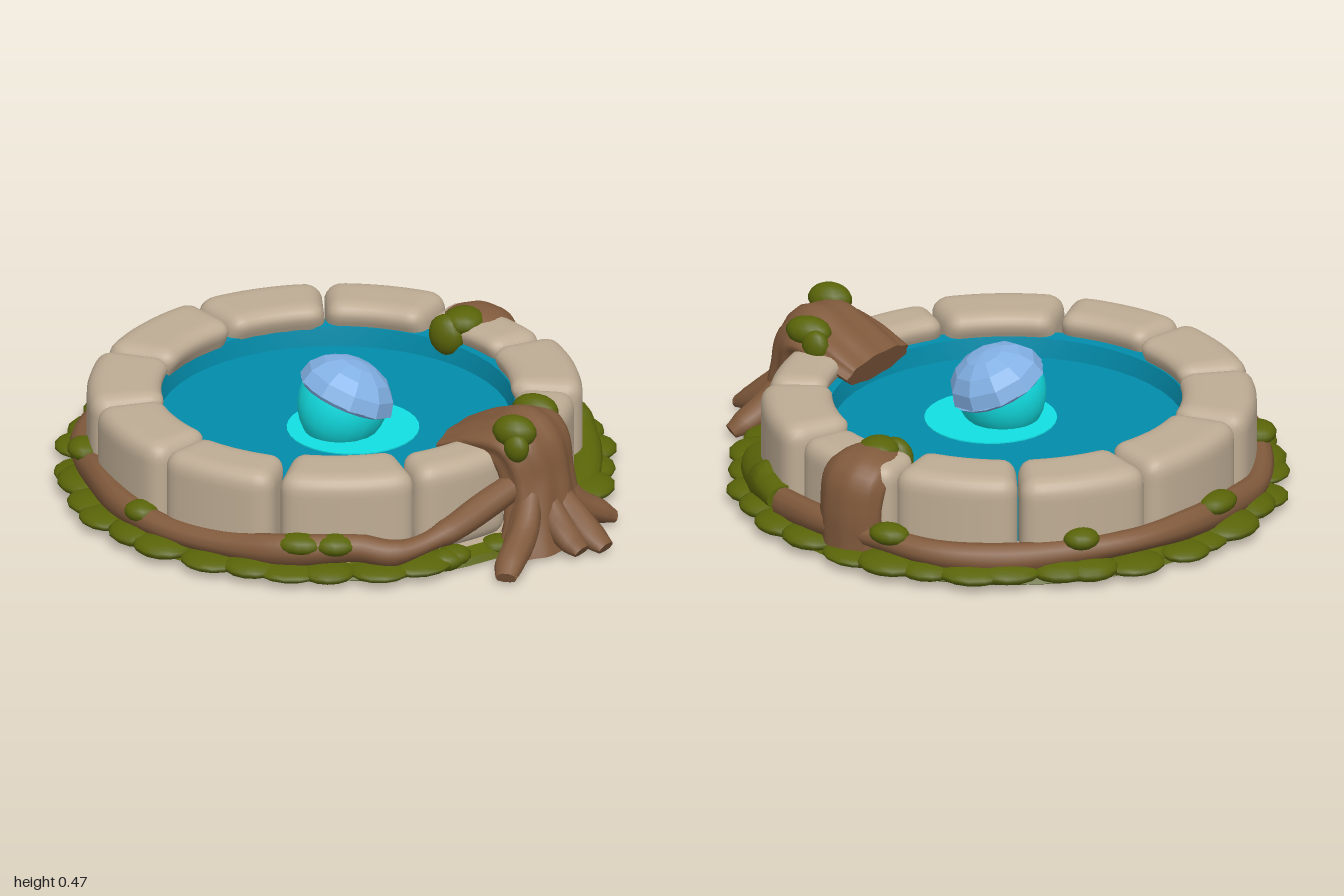
import * as THREE from 'three';
import { mergeVertices, toCreasedNormals } from 'three/addons/utils/BufferGeometryUtils.js';

const CZ = -0.09; // centre of the pool in z
const D = Math.PI / 180;

function material(name, color, side = THREE.FrontSide) {
  const m = new THREE.MeshStandardMaterial({ color, side });
  m.name = name;
  return m;
}

// Sweeps an ellipse along points [x, y, z, halfWidth, halfHeight]; side fixes the width axis.
function sweep(points, { side = null, steps = 24, sides = 14, ridge = 0 } = {}) {
  const path = new THREE.CatmullRomCurve3(points.map(p => new THREE.Vector3(p[0], p[1], p[2])));
  const size = new THREE.CatmullRomCurve3(points.map(p => new THREE.Vector3(p[3], p[4], 0)));
  const pos = [], idx = [];
  for (let i = 0; i <= steps; i++) {
    const c = path.getPoint(i / steps), s = size.getPoint(i / steps), t = path.getTangent(i / steps);
    const u = (side ? side.clone() : new THREE.Vector3().crossVectors(t, new THREE.Vector3(0, 1, 0))).normalize();
    const n = new THREE.Vector3().crossVectors(t, u);
    for (let j = 0; j < sides; j++) {
      const a = j / sides * Math.PI * 2;
      const k = 1 + ridge * Math.cos(9 * a + 0.5 * Math.sin(i * 0.4));
      const p = c.clone().addScaledVector(u, s.x * k * Math.cos(a)).addScaledVector(n, s.y * k * Math.sin(a));
      pos.push(p.x, Math.max(p.y, 0.004), p.z);
      if (i < steps) {
        const j2 = (j + 1) % sides, q = i * sides, r = q + sides;
        idx.push(q + j, q + j2, r + j2, q + j, r + j2, r + j);
      }
    }
  }
  // end caps
  const start = pos.length / 3, a = path.getPoint(0), b = path.getPoint(1), last = steps * sides;
  pos.push(a.x, a.y, a.z, b.x, b.y, b.z);
  for (let j = 0; j < sides; j++) {
    const j2 = (j + 1) % sides;
    idx.push(start, j2, j, start + 1, last + j, last + j2);
  }
  const g = new THREE.BufferGeometry();
  g.setAttribute('position', new THREE.Float32BufferAttribute(pos, 3));
  g.setIndex(idx);
  return toCreasedNormals(g, 50 * D);
}

// A rounded block bent to follow the ring, its inner face leaning back towards the bottom.
function stoneGeometry(angle, span, inner, outer, top) {
  const mid = (inner + outer) / 2, bottom = 0.03, round = 0.055;
  const half = new THREE.Vector3(span * mid, top - bottom, outer - inner).multiplyScalar(0.5);
  const core = half.clone().subScalar(round), low = core.clone().negate();
  let g = new THREE.BoxGeometry(half.x * 2, half.y * 2, half.z * 2, 18, 14, 10);
  const p = g.attributes.position, v = new THREE.Vector3();
  for (let i = 0; i < p.count; i++) {
    v.fromBufferAttribute(p, i);
    const c = v.clone().clamp(low, core);
    v.sub(c).setLength(round).add(c);
    const a = angle - v.x / mid, y = v.y + (top + bottom) / 2;
    const lean = v.z < 0 ? 0.05 * Math.min(1, Math.max(0, (0.31 - y) / 0.1)) * -v.z / half.z : 0;
    const r = mid + v.z + lean;
    p.setXYZ(i, r * Math.cos(a), y, CZ + r * Math.sin(a));
  }
  g.deleteAttribute('normal');
  g.deleteAttribute('uv');
  g = mergeVertices(g, 1e-4);
  return toCreasedNormals(g, 60 * D);
}

export function createModel() {
  const stone = material('stone', 0xbeac94);
  const bark = material('bark', 0x815a3c);
  const moss = material('moss', 0x596408);
  const water = material('water', 0x028cab, THREE.DoubleSide);
  const foam = material('foam', 0x12dfe3, THREE.DoubleSide);
  const crystal = material('crystal', 0x82b0e4, THREE.DoubleSide);

  const model = new THREE.Group();
  const add = (name, geometry, mat, x = 0, y = 0, z = 0, parent = model) => {
    const m = new THREE.Mesh(geometry, mat);
    m.name = name;
    m.position.set(x, y, z);
    parent.add(m);
    return m;
  };
  const ball = new THREE.SphereGeometry(1, 14, 9);
  const blob = (name, x, y, z, sx, sy, sz, turn = 0) => {
    const m = add(name, ball, moss, x, y, z);
    m.scale.set(sx, sy, sz);
    m.rotation.y = turn;
  };
  const lathe = (name, points, mat) => add(name, toCreasedNormals(
    new THREE.LatheGeometry(points.map(([x, y]) => new THREE.Vector2(x, y)), 48), 30 * D), mat, 0, 0, CZ);

  // stone foundation with a mossy rim
  lathe('foundation', [[0.59, 0], [0.85, 0]], stone);
  lathe('foundationTop', [[0.8, 0.045], [0.59, 0.045]], stone);
  lathe('mossRim', [[0.85, 0], [0.865, 0.008], [0.85, 0.03], [0.8, 0.045]], moss);

  // pool wall with a lip below and a flange above, and the water surface
  lathe('poolWall', [[0.61, 0.002], [0.55, 0.004], [0.57, 0.1], [0.578, 0.2], [0.588, 0.265], [0.64, 0.268]], water);
  const disc = new THREE.CircleGeometry(0.578, 48).rotateX(-Math.PI / 2);
  add('waterSurface', disc, water, 0, 0.2, CZ);
  add('foamRing', new THREE.CylinderGeometry(0.217, 0.217, 0.008, 32), foam, -0.02, 0.2, 0);

  // tilted orb: faceted crystal dome over a smooth bowl
  const orb = new THREE.Group();
  orb.name = 'orb';
  orb.position.set(-0.04, 0.32, -0.015);
  orb.rotation.set(0.27, 0, -0.32);
  model.add(orb);
  const dome = new THREE.SphereGeometry(0.162, 10, 4, 0, Math.PI * 2, 0, Math.PI / 2)
    .scale(0.98, 0.78, 1.04).toNonIndexed();
  dome.computeVertexNormals();
  add('crystalDome', dome, crystal, 0, 0, 0, orb);
  add('crystalRim', new THREE.CylinderGeometry(0.16, 0.15, 0.012, 20), crystal, 0, -0.004, 0, orb);
  const bowl = new THREE.SphereGeometry(0.15, 20, 8, 0, Math.PI * 2, Math.PI / 2, Math.PI / 2).scale(1, 1.2, 1);
  add('orbBowl', bowl, foam, 0, -0.008, 0, orb);

  // ring stones: angle, span in degrees, inner and outer radius, top
  [[-90, 35, 0.555, 0.8, 0.345], [-56, 32, 0.56, 0.81, 0.34], [-24, 31, 0.57, 0.8, 0.345],
    [8, 31, 0.59, 0.79, 0.335], [41, 32, 0.57, 0.81, 0.345], [70, 26, 0.59, 0.79, 0.34],
    [109, 27, 0.59, 0.78, 0.34], [140, 33, 0.57, 0.81, 0.345], [173, 30, 0.6, 0.81, 0.345],
    [204, 31, 0.57, 0.81, 0.345], [236, 33, 0.56, 0.81, 0.345]].forEach(([a, s, r0, r1, top]) =>
    add('ringStone', stoneGeometry(a * D, s * D, r0, r1, top), stone));

  // front trunk that bends over the rim as a spout
  const xAxis = new THREE.Vector3(1, 0, 0);
  add('trunkSpout', sweep([[-0.02, 0, 0.77, 0.19, 0.12], [-0.01, 0.1, 0.76, 0.155, 0.1],
    [0, 0.22, 0.735, 0.145, 0.1], [0.005, 0.33, 0.69, 0.16, 0.105], [0.01, 0.33, 0.58, 0.165, 0.075],
    [0.01, 0.285, 0.44, 0.16, 0.05]], { side: xAxis, steps: 30, sides: 54, ridge: 0.045 }), bark);
  // flared roots: end x, end z, start x
  [[-0.36, 0.88, -0.12], [-0.24, 0.83, -0.12], [-0.04, 0.95, -0.04], [0.03, 0.995, 0.03], [0.25, 0.86, 0.09]]
    .forEach(([x, z, sx]) => add('trunkRoot', sweep([[sx * 0.7, 0.2, 0.77, 0.04, 0.04],
      [sx * 0.8 + x * 0.2, 0.1, 0.74 + (z - 0.74) * 0.5, 0.05, 0.05],
      [x * 0.75 + sx * 0.25, 0.045, 0.74 + (z - 0.74) * 0.8, 0.05, 0.04],
      [x, 0.02, z, 0.035, 0.022]], { sides: 10, steps: 12 }), bark));

  // long root from the trunk around the left, back and right of the ring
  const long = [[-0.08, 0.23, 0.73, 0.045, 0.045], [-0.22, 0.18, 0.69, 0.05, 0.05],
    [-0.38, 0.13, 0.65, 0.045, 0.045], [-0.54, 0.09, 0.56, 0.045, 0.045]];
  for (let a = 138, i = 0; a <= 392; a += 15.5, i++) {
    const r = 0.818 + 0.01 * Math.sin(i * 2.1), h = 0.047 + 0.008 * Math.sin(i * 1.7);
    long.push([r * Math.cos(a * D), 0.092 + 0.013 * Math.cos(i * 1.3), CZ + r * Math.sin(a * D), 0.045, h]);
  }
  add('ringRoot', sweep(long, { steps: 120, sides: 10 }), bark);

  // side stump folded over the rim
  add('sideStump', sweep([[0.79, 0.05, -0.05, 0.115, 0.075], [0.795, 0.18, -0.05, 0.115, 0.07],
    [0.77, 0.265, -0.05, 0.12, 0.075], [0.7, 0.3, -0.05, 0.11, 0.06], [0.61, 0.29, -0.06, 0.09, 0.045]],
  { side: new THREE.Vector3(0, 0, -1), steps: 20, sides: 36, ridge: 0.02 }), bark);

  // moss on the trunk, the stump and the root
  blob('trunkMoss', -0.1, 0.41, 0.72, 0.055, 0.055, 0.075, 0.3);
  blob('trunkMoss', -0.13, 0.37, 0.75, 0.035, 0.05, 0.045);
  blob('trunkMoss', 0.12, 0.39, 0.64, 0.055, 0.05, 0.08, 0.2);
  blob('trunkMoss', 0.15, 0.36, 0.59, 0.035, 0.055, 0.05);
  blob('stumpMoss', 0.65, 0.33, -0.05, 0.075, 0.042, 0.07, 0.4);
  blob('stumpMoss', 0.595, 0.29, -0.08, 0.045, 0.07, 0.065);
  [[117, 0.03], [143, 0.12], [151, 0.12], [193, 0.11], [226, 0.14], [267, 0.13], [306, 0.14], [351, 0.13]]
    .forEach(([a, y], i) => blob('rootMoss', 0.825 * Math.cos(a * D), y, CZ + 0.825 * Math.sin(a * D),
      0.055, 0.035, 0.06 + 0.01 * (i % 3), -a * D));

  // mossy bank at the front left
  const bank = [[70, 0.035, 0.025], [60, 0.05, 0.035], [50, 0.065, 0.045], [42, 0.08, 0.055], [34, 0.095, 0.055],
    [27, 0.095, 0.045]];
  add('mossBank', sweep(bank.map(([a, y, h]) =>
    [0.81 * Math.cos(a * D), y, CZ + 0.81 * Math.sin(a * D), 0.065, h]), { steps: 30 }), moss);

  // moss cushions along the foot of the ring
  let seed = 7;
  const rand = () => (seed = (seed * 16807) % 2147483647) / 2147483647;
  const count = 36;
  for (let i = 0; i < count; i++) {
    const a = (i + 0.5 * rand()) / count * 360;
    const thin = a > 84 && a < 122;
    const s = thin ? 0.055 : 0.08 + 0.035 * rand();
    const r = (thin ? 0.87 : 0.915 + 0.03 * rand()) - s;
    const h = 0.024 + 0.014 * rand();
    blob('mossCushion', r * Math.cos(a * D), h + 0.003, CZ + r * Math.sin(a * D), s, h, s * 1.1, -a * D);
  }
  return model;
}
